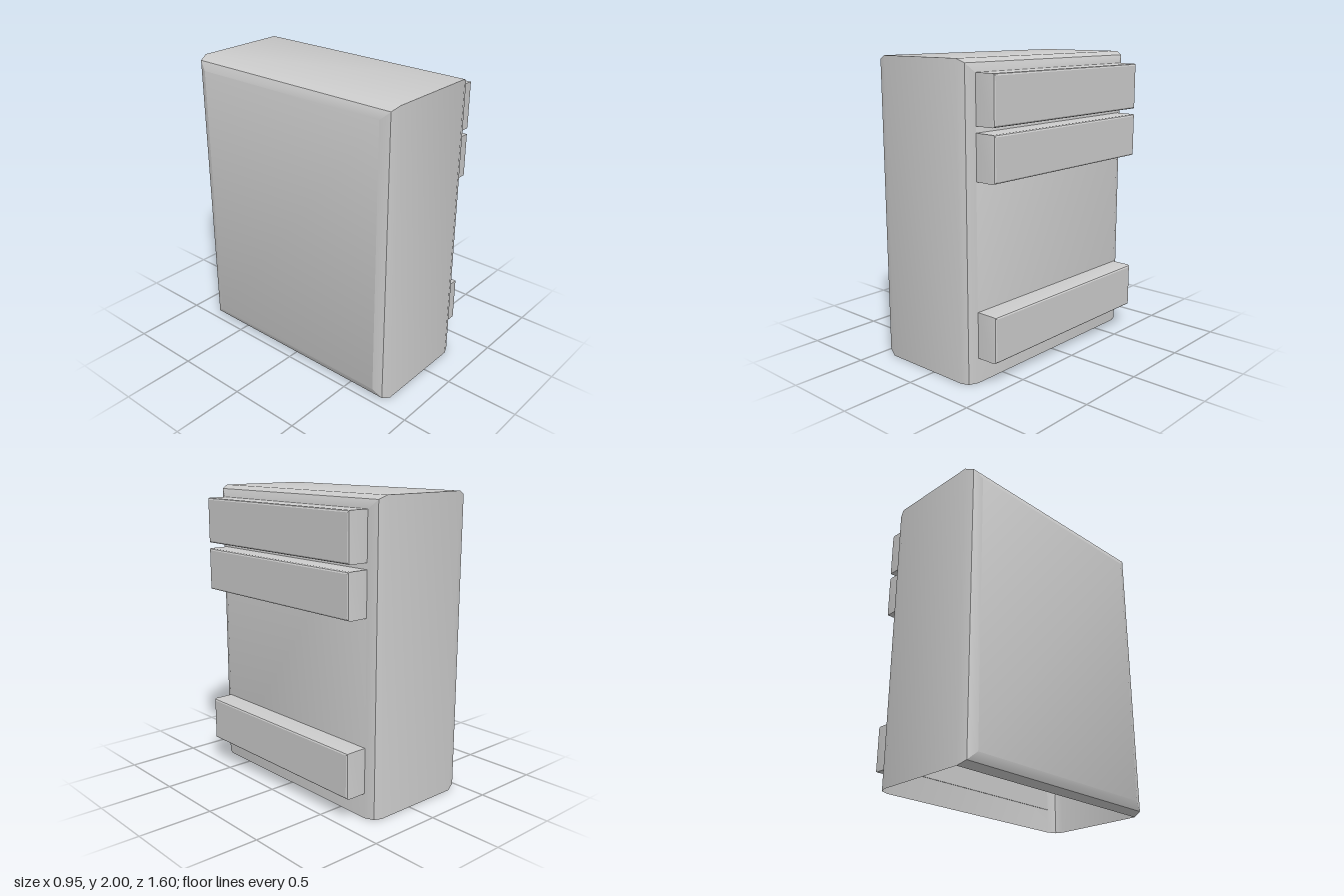
import * as THREE from 'three';
import { toCreasedNormals } from 'three/addons/utils/BufferGeometryUtils.js';

// Rectangular cross-sections [x, halfDepth, yLow, yHigh] joined along x.
// openBottom(i) leaves out the underside of segment i.
function loft(sections, openBottom = () => false) {
  const pos = [];
  const quad = (a, b, c, d) => pos.push(...a, ...b, ...c, ...a, ...c, ...d);
  const rings = sections.map(([x, h, y0, y1]) => [[x, y0, h], [x, y0, -h], [x, y1, -h], [x, y1, h]]);
  for (let i = 0; i < rings.length - 1; i++) {
    for (let j = 0; j < 4; j++) {
      if (j === 0 && openBottom(i)) continue;
      const k = (j + 1) % 4;
      quad(rings[i][j], rings[i][k], rings[i + 1][k], rings[i + 1][j]);
    }
  }
  const first = rings[0], last = rings[rings.length - 1];
  quad(first[3], first[2], first[1], first[0]);
  quad(...last);
  const geo = new THREE.BufferGeometry();
  geo.setAttribute('position', new THREE.Float32BufferAttribute(pos, 3));
  return toCreasedNormals(geo, 0.5);
}

export function createModel() {
  const group = new THREE.Group();
  const material = new THREE.MeshStandardMaterial({ color: 0xcccccc, side: THREE.DoubleSide });
  const add = (name, geo) => {
    const mesh = new THREE.Mesh(geo, material);
    mesh.name = name;
    group.add(mesh);
  };

  // Hollow case with rounded edges, open underneath
  add('case', loft([
    [-0.475, 0.72, 0.08, 1.92],
    [-0.45, 0.78, 0.025, 1.975],
    [-0.39, 0.8, 0, 2],
    [0.25, 0.8, 0, 2],
    [0.3, 0.78, 0, 1.975],
    [0.325, 0.72, 0, 1.92],
  ], (i) => i >= 2));

  // Horizontal bars on the side, softened on the outer edge
  const bars = { topBar: [1.61, 1.92], middleBar: [1.28, 1.57], bottomBar: [0.165, 0.465] };
  for (const [name, [y0, y1]] of Object.entries(bars)) {
    add(name, loft([
      [0.32, 0.718, y0, y1],
      [0.455, 0.718, y0, y1],
      [0.467, 0.714, y0 + 0.004, y1 - 0.004],
      [0.472, 0.705, y0 + 0.013, y1 - 0.013],
    ]));
  }
  return group;
}
